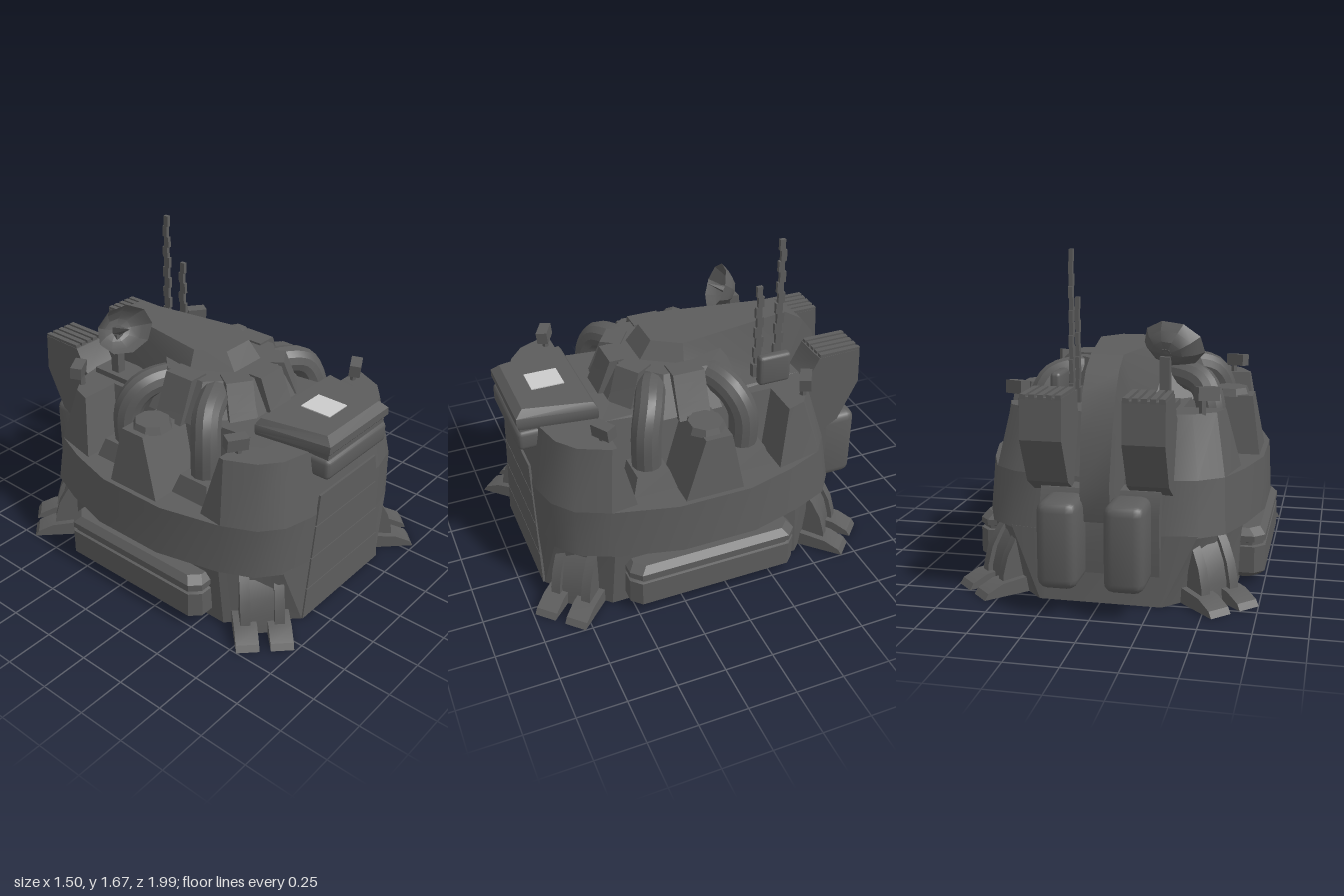
import * as THREE from 'three';
import { toCreasedNormals } from 'three/addons/utils/BufferGeometryUtils.js';
import { RoundedBoxGeometry } from 'three/addons/geometries/RoundedBoxGeometry.js';

const dark = new THREE.MeshStandardMaterial({ color: 0x5c5c5c, side: THREE.DoubleSide });
const light = new THREE.MeshStandardMaterial({ color: 0xcccccc });

function add(parent, name, geo, pos = [0, 0, 0], rot = [0, 0, 0], mat = dark) {
  const mesh = new THREE.Mesh(toCreasedNormals(geo, 0.5), mat);
  mesh.name = name;
  mesh.position.set(...pos);
  mesh.rotation.set(...rot);
  parent.add(mesh);
}
const box = (w, h, d) => new THREE.BoxGeometry(w, h, d);
const rounded = (w, h, d, r) => new RoundedBoxGeometry(w, h, d, 2, r);

// Right half of a plan outline, front to back, mirrored to a full ring at height y
function ring(half, y) {
  const h = half.map(([x, z]) => [x, typeof y === 'function' ? y(z) : y, z]);
  return [...h, ...h.slice().reverse().map(([x, v, z]) => [-x, v, z])];
}

// Skin over rings of equal point count, closed at both ends
function loft(rings) {
  const n = rings[0].length, idx = [];
  for (let r = 0; r < rings.length - 1; r++)
    for (let i = 0; i < n; i++) {
      const a = r * n + i, b = r * n + (i + 1) % n;
      idx.push(a, b, b + n, a, b + n, a + n);
    }
  const cap = (pts) => n === 4 ? [[0, 1, 2], [0, 2, 3]]
    : THREE.ShapeUtils.triangulateShape(pts.map((p) => new THREE.Vector2(p[0], -p[2])), []);
  const top = (rings.length - 1) * n;
  for (const [a, b, c] of cap(rings[0])) idx.push(a, c, b);
  for (const [a, b, c] of cap(rings[rings.length - 1])) idx.push(top + a, top + b, top + c);
  const g = new THREE.BufferGeometry();
  g.setAttribute('position', new THREE.Float32BufferAttribute(rings.flat(2), 3));
  g.setIndex(idx);
  return g;
}

// Side profile of [z, y] points, extruded along x and centred
function profile(pts, width) {
  const s = new THREE.Shape(pts.map((p) => new THREE.Vector2(...p)));
  return new THREE.ExtrudeGeometry(s, { depth: width, bevelEnabled: false })
    .translate(0, 0, -width / 2).rotateY(-Math.PI / 2);
}

function buildHull(g) {
  const plan = [[.3, .88], [.46, .84], [.57, .75], [.65, .58], [.73, .25], [.73, -.15],
    [.66, -.42], [.58, -.62], [.46, -.71], [.28, -.745]];
  const scaled = (k, kz, dz) => plan.map(([x, z]) => [x * k, z * kz + dz]);
  const mid = scaled(.98, .972, .025), top = scaled(.89, .88, .046);

  // Octagonal foot with hollowed corners behind the legs
  add(g, 'lowerHull', loft([
    ring([[.3, .88], [.34, .88], [.48, .74], [.62, .6], [.62, -.45], [.46, -.615], [.3, -.78], [.28, -.78]], 0),
    ring([[.3, .88], [.46, .84], [.53, .71], [.645, .585], [.635, -.425], [.54, -.58], [.46, -.71], [.28, -.745]], .34)]));
  add(g, 'middleHull', loft([ring(plan, .33), ring(mid, .6)]));

  // Upper hull with two sloped notches on each side
  const low = [...mid.slice(0, 4), [.62, .45], [.4, .45], [.4, .22], [.69, .22],
    [.69, -.09], [.4, -.09], [.4, -.33], [.62, -.33], ...mid.slice(7)];
  const high = [...top.slice(0, 4), [.575, .53], [.34, .53], [.34, .1], [.645, .1],
    [.645, -.04], [.34, -.04], [.34, -.4], [.55, -.4], ...top.slice(7)];
  add(g, 'upperHull', loft([ring(low, .6), ring(high, (z) => z > .45 ? .93 : .9)]));

  // Front ramp in four panels
  const hw = (y) => .34 - y * .143;
  [0, .175, .35, .53].forEach((y, i, a) => {
    const y0 = y + .003, y1 = (a[i + 1] ?? .7) - .003;
    const s = new THREE.Shape([[-hw(y0), y0], [hw(y0), y0], [hw(y1), y1], [-hw(y1), y1]]
      .map((p) => new THREE.Vector2(...p)));
    add(g, 'rampPanel', new THREE.ExtrudeGeometry(s, { depth: .012, bevelEnabled: false }), [0, 0, .876]);
  });
}

function buildLeg(g, x, z) {
  const leg = new THREE.Group();
  leg.name = 'leg';
  leg.position.set(x, 0, z);
  leg.rotation.y = Math.atan2(Math.sign(x), Math.sign(z));
  g.add(leg);
  const strut = [[-.09, 0], [-.1, .1], [-.125, .19], [-.17, .27], [-.22, .335], [-.36, .335], [-.32, 0]];
  for (const s of [-1, 1]) {
    add(leg, 'toe', profile([[-.26, 0], [0, 0], [-.02, .03], [-.1, .065], [-.26, .08]], .115), [s * .085, 0, 0]);
    add(leg, 'strut', profile(strut, .05), [s * .085, 0, -.02]);
  }
  add(leg, 'strutCore', profile(strut, .13), [0, 0, -.045]);
}

function buildTurret(g) {
  const turret = new THREE.Group();
  turret.name = 'turret';
  turret.position.z = .06;
  g.add(turret);
  add(turret, 'turretBase', new THREE.CylinderGeometry(.31, .42, .2, 8), [0, .99, 0], [0, Math.PI / 8, 0]);
  for (const a of [-90, -34, 0, 34, 90])
    add(turret, 'turretBlock', profile([[.2, .88], [.42, .88], [.385, .96], [.33, 1.1], [.22, 1.1]], a % 90 ? .14 : .17),
      [0, 0, 0], [0, a * Math.PI / 180, 0]);

  // Long spine running back over the roof and down the rear: [halfTop, yTop, zTop, halfLow, yLow, zLow]
  add(g, 'spine', loft([
    [.09, 1.18, .17, .11, 1.07, .25], [.18, 1.18, .03, .25, 1.05, .05], [.08, 1.18, -.6, .13, .88, -.5],
    [.08, 1.12, -.7, .13, .8, -.54], [.08, 1.03, -.77, .13, .7, -.58], [.075, .85, -.83, .12, .6, -.62],
    [.07, .6, -.88, .12, .5, -.66], [.07, .42, -.84, .12, .38, -.68],
  ].map(([t, ty, tz, b, by, bz]) => [[-b, by, bz], [-t, ty, tz], [t, ty, tz], [b, by, bz]])));
}

function buildPipes(g, s) {
  for (const zs of [[.17, .25, .3, .335, .335], [-.02, -.1, -.15, -.19, -.19]]) {
    const xs = [.15, .29, .395, .445, .445], ys = [1, 1.015, .98, .87, .66];
    const curve = new THREE.CatmullRomCurve3(xs.map((x, i) => new THREE.Vector3(s * x, ys[i], zs[i])));
    add(g, 'pipe', new THREE.TubeGeometry(curve, 18, .076, 12, false));
    add(g, 'pipeCollar', new THREE.CylinderGeometry(.12, .165, .1, 4, 1).rotateY(Math.PI / 4), [s * .455, .65, zs[4]]);
  }
}

function buildRoofGear(g) {
  // Antennas made of slightly staggered segments
  for (const [z, top] of [[-.5, 1.67], [-.385, 1.43]]) {
    const n = Math.round((top - .96) / .06), h = (top - .96) / n;
    for (let i = 0; i < n; i++)
      add(g, 'antennaSegment', box(.02, h, .046 - .018 * i / n), [.2, .96 + (i + .5) * h, z + (i % 2 ? .005 : -.005)]);
    add(g, 'antennaBase', box(.035, .1, .06), [.2, .93, z]);
  }
  add(g, 'roofBox', rounded(.055, .17, .18, .02), [.28, .985, -.44]);
  add(g, 'roofPlate', box(.16, .04, .24), [-.23, .91, -.45]);

  // Dish tilted up and outward, with feed horn on a short mast
  const dish = new THREE.Group();
  dish.name = 'dish';
  dish.position.set(-.255, 1.165, -.455);
  dish.rotation.set(-.42, -.25, 0);
  g.add(dish);
  const bowl = new THREE.LatheGeometry([[.001, 0], [.08, .02], [.13, .06], [.165, .11]]
    .map((p) => new THREE.Vector2(...p)), 9).rotateX(Math.PI / 2).scale(1, .76, 1);
  add(dish, 'dishBowl', bowl);
  add(dish, 'dishFeed', new THREE.ConeGeometry(.03, .16, 5), [0, 0, .085], [Math.PI / 2, 0, 0]);
  add(g, 'dishMast', box(.05, .25, .05), [-.255, 1.03, -.45]);

  // Corner lamps and side hatches
  for (const s of [-1, 1]) {
    for (const [x, z, turn] of [[.5, .57, .5], [.47, -.53, 2.6]]) {
      add(g, 'lampStalk', new THREE.CylinderGeometry(.014, .02, .1, 6), [s * (x - .02), .94, z]);
      add(g, 'lamp', box(.11, .065, .06), [s * x, .995, z], [.1, s * turn, 0]);
    }
    add(g, 'hatch', new THREE.CylinderGeometry(.09, .105, .04, 8), [s * .52, .912, .05], [0, Math.PI / 8, 0]);
  }
}

function buildFrontLocker(g) {
  add(g, 'lockerBody', rounded(.51, .11, .36, .025), [0, .855, .75]);
  add(g, 'lockerSeam', box(.48, .05, .33), [0, .915, .75]);
  add(g, 'lockerLid', loft([
    ring([[.25, .91], [.3, .53]], .925), ring([[.255, .93], [.31, .53]], .95),
    ring([[.25, .93], [.31, .53]], .99), ring([[.22, .89], [.29, .55]], 1.025)]));
  add(g, 'lidPanel', box(.15, .008, .17), [0, 1.026, .715], [0, 0, 0], light);
}

function buildRearGear(g, s) {
  // Louvred pack
  add(g, 'rearPack', profile([[-.55, .85], [-.62, .9], [-.68, 1.015], [-.92, 1.02], [-.93, .82], [-.82, .6], [-.65, .5]], .2),
    [s * .24, 0, 0]);
  for (let i = 0; i < 5; i++)
    add(g, 'louvre', box(.028, .03, .235), [s * .24 + (i - 2) * .042, 1.018, -.803]);
  // Rear canister
  add(g, 'rearTank', rounded(.195, .42, .235, .05), [s * .158, .34, -.882]);
}

// Chamfered tank with a shallow groove under its lid: rings of [y, inset]
function buildSideTank(g, s) {
  const section = ([y, d]) => {
    const pts = [[.6, .53 - d], [.7 - d, .53 - d], [.75 - d, .48 - d], [.75 - d, -.335 + d],
      [.7 - d, -.385 + d], [.6, -.385 + d]].map(([x, z]) => [s * x, y, z]);
    return s > 0 ? pts : pts.reverse();
  };
  add(g, 'sideTank', loft([[.03, .03], [.06, 0], [.195, 0], [.2, .012], [.215, .012], [.22, 0],
    [.25, 0], [.285, .03]].map(section)));
}

export function createModel() {
  const g = new THREE.Group();
  g.name = 'armouredBunker';
  buildHull(g);
  buildTurret(g);
  buildRoofGear(g);
  buildFrontLocker(g);
  add(g, 'tankBracket', profile([[-.6, .15], [-.78, .15], [-.8, .45], [-.76, .56], [-.6, .6]], .58));
  for (const s of [-1, 1]) {
    buildLeg(g, s * .65, .89);
    buildLeg(g, s * .65, -.77);
    buildPipes(g, s);
    buildRearGear(g, s);
    buildSideTank(g, s);
  }
  return g;
}
